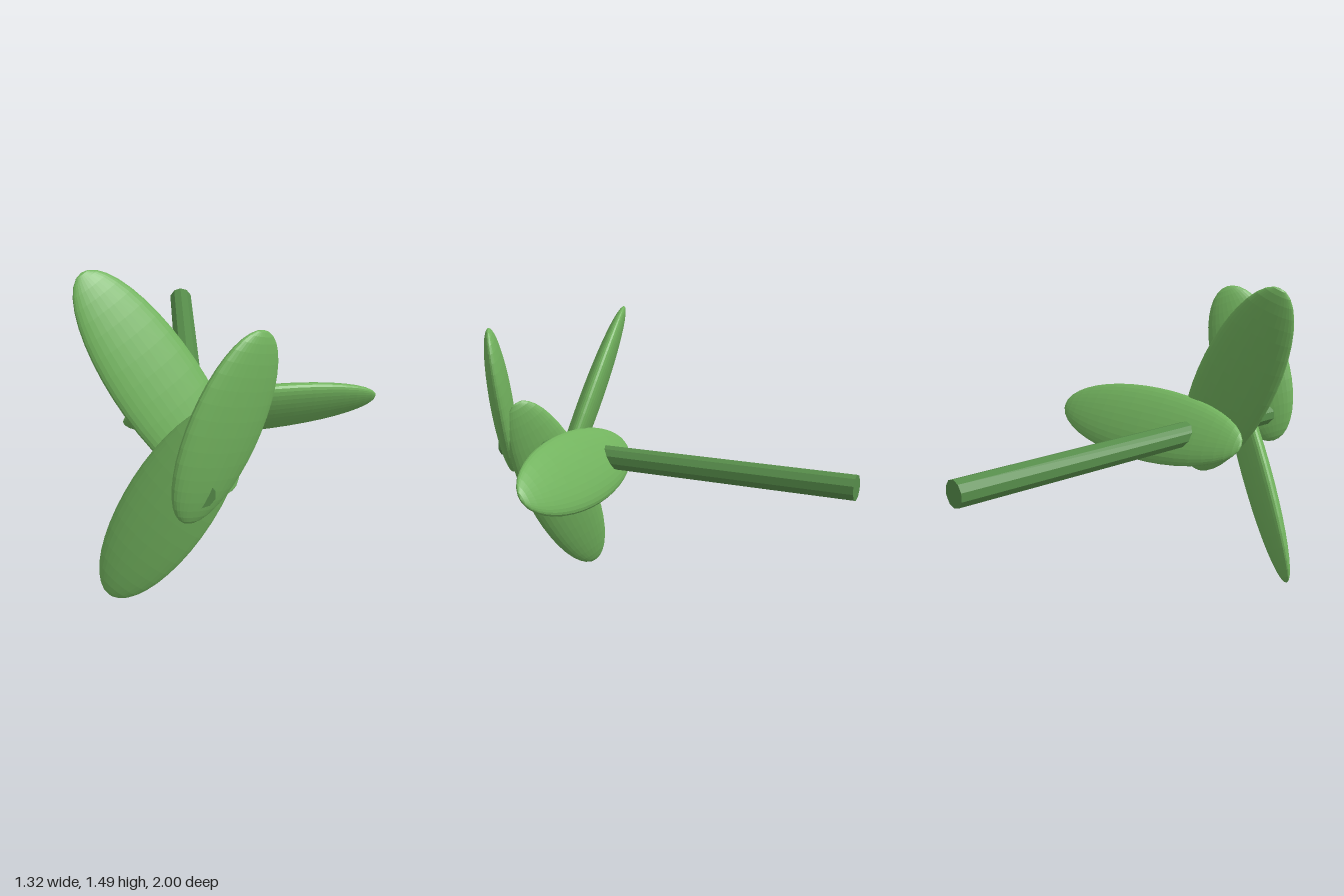
import * as THREE from 'three';

const leafMaterial = new THREE.MeshStandardMaterial({ color: 0x72b35e, flatShading: true });
const stemMaterial = new THREE.MeshStandardMaterial({ color: 0x568c4a, flatShading: true });

// Flattened ellipsoid leaf, aimed by its long axis and its width axis
function makeLeaf(name, centre, halfLength, along, across) {
  const long = new THREE.Vector3(...along).normalize();
  const wide = new THREE.Vector3(...across);
  wide.addScaledVector(long, -wide.dot(long)).normalize();
  const thin = new THREE.Vector3().crossVectors(wide, long);

  const leaf = new THREE.Mesh(new THREE.SphereGeometry(1, 32, 20), leafMaterial);
  leaf.name = name;
  leaf.scale.set(0.195, halfLength, 0.0585);
  leaf.quaternion.setFromRotationMatrix(new THREE.Matrix4().makeBasis(wide, long, thin));
  leaf.position.set(...centre);
  return leaf;
}

export function createModel() {
  const group = new THREE.Group();
  group.name = 'leafyStem';

  // Straight stem along z, ending just inside the front leaf
  const back = -1, front = 0.94;
  const stem = new THREE.Mesh(new THREE.CylinderGeometry(0.061, 0.061, front - back, 10), stemMaterial);
  stem.name = 'stem';
  stem.rotation.x = Math.PI / 2;
  stem.position.set(-0.2, 0.76, (front + back) / 2);
  group.add(stem);

  // Leaves spiralling around the stem, back to front
  group.add(
    makeLeaf('sideLeaf', [0.073, 0.757, 0.29], 0.585, [0.994, 0, -0.108], [0.058, 0.843, 0.537]),
    makeLeaf('upperLeaf', [-0.335, 0.99, 0.483], 0.585, [-0.506, 0.862, -0.097], [0.75, 0.44, -0.49]),
    makeLeaf('lowerLeaf', [-0.33, 0.522, 0.68], 0.585, [0.488, 0.873, 0.104], [0.74, -0.414, 0.53]),
    makeLeaf('frontLeaf', [-0.1, 1.01, 0.875], 0.425, [0.348, 0.938, -0.1], [0.787, -0.292, -0.545]),
  );
  return group;
}
